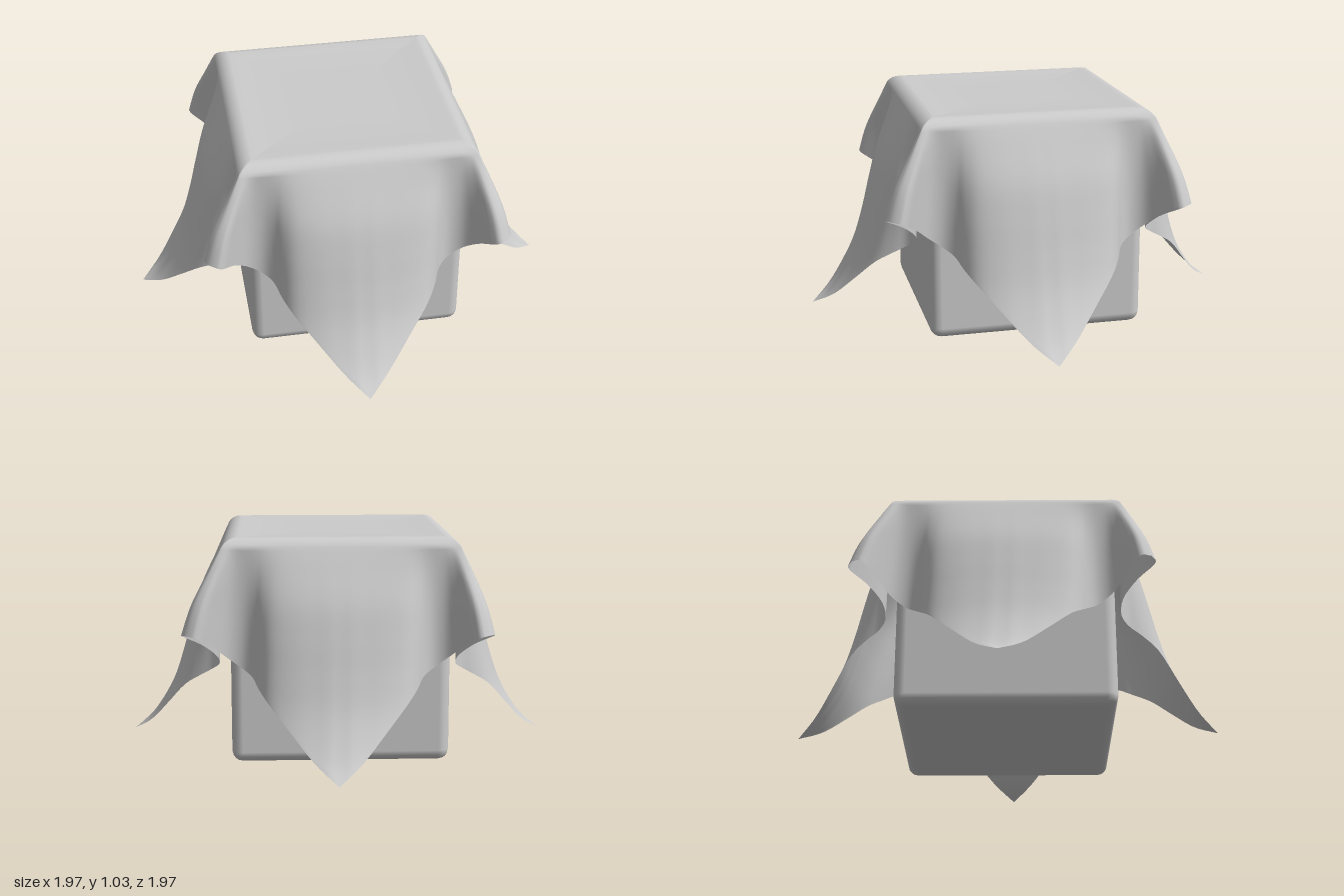
import * as THREE from 'three';
import { RoundedBoxGeometry } from 'three/addons/geometries/RoundedBoxGeometry.js';

const RIM = 0.46, SHOULDER = 0.53, SHOULDER_Y = 0.99;
const HALF = 36;                          // columns per half side
const lerp = THREE.MathUtils.lerp;

// How far the cloth flares out at each height below the shoulder: [out, height]
const flare = new THREE.SplineCurve([
  [0.53, 0.99], [0.575, 0.9], [0.645, 0.75], [0.69, 0.6], [0.73, 0.45],
  [0.78, 0.3], [0.85, 0.17], [0.92, 0.08], [0.985, 0.035],
].map(p => new THREE.Vector2(...p))).getPoints(160);

function flareAt(y) {
  for (let i = 1; i < flare.length; i++) {
    const a = flare[i - 1], b = flare[i];
    if (y >= b.y) return lerp(a.x, b.x, (a.y - y) / (a.y - b.y));
  }
  return flare[flare.length - 1].x;
}

// Half of one side, from the hanging tip to the corner fold:
// [shoulder sideways, hem sideways, hem out, hem height]
const columns = [
  [0, 0, 0.985, 0.035], [0.1, 0.1, 0.89, 0.105], [0.2, 0.2, 0.8, 0.21],
  [0.28, 0.3, 0.71, 0.32], [0.33, 0.35, 0.635, 0.375], [0.37, 0.38, 0.57, 0.415],
  [0.41, 0.43, 0.535, 0.45], [0.45, 0.495, 0.545, 0.5], [0.48, 0.555, 0.605, 0.56],
  [0.505, 0.615, 0.685, 0.61], [0.53, 0.665, 0.665, 0.62],
];
const hemCurve = new THREE.CatmullRomCurve3(
  columns.map(c => new THREE.Vector3(c[1], c[2], c[3])), false, 'catmullrom', 0.5);
const shoulderCurve = new THREE.CatmullRomCurve3(
  columns.map(c => new THREE.Vector3(c[0], 0, 0)), false, 'catmullrom', 0.5);

// One column of cloth from the middle of the top to the hem: [sideways, out, height, twist]
function clothColumn(u) {
  const sign = Math.sign(u) || 1;
  const hem = hemCurve.getPoint(Math.abs(u));
  const side = shoulderCurve.getPoint(Math.abs(u)).x;
  const points = [];
  const TOP = 10, ROUND = 6, DROP = 40;
  for (let i = 0; i <= TOP; i++) {        // flat top, sagging slightly
    const s = i / TOP, d = RIM * s;
    points.push([sign * side * d / SHOULDER, d, 1.02 + 0.01 * s ** 4, 0]);
  }
  for (let i = 1; i <= ROUND; i++) {      // rounded edge
    const a = i / ROUND * Math.PI / 3;
    const d = RIM + (SHOULDER - RIM) * Math.sin(a) / Math.sin(Math.PI / 3);
    points.push([sign * side * d / SHOULDER, d, 0.95 + 0.08 * Math.cos(a), 0]);
  }
  const reach = flareAt(hem.z) - SHOULDER;
  for (let i = 1; i <= DROP; i++) {       // hanging part
    const y = lerp(SHOULDER_Y, hem.z, i / DROP);
    const t = (flareAt(y) - SHOULDER) / reach;
    points.push([sign * lerp(side, hem.x, t), lerp(SHOULDER, hem.y, t), y, 0.03 * t]);
  }
  return points;
}

function clothGeometry() {
  const positions = [], index = [];
  const count = 4 * 2 * HALF;
  let rows = 0;
  for (let j = 0; j < count; j++) {
    const quarter = Math.floor(j / (2 * HALF));
    const points = clothColumn((j % (2 * HALF)) / HALF - 1);
    rows = points.length;
    for (const [l, d, y, twist] of points) {
      const a = quarter * Math.PI / 2 - twist;
      positions.push(l * Math.cos(a) + d * Math.sin(a), y, d * Math.cos(a) - l * Math.sin(a));
    }
  }
  for (let j = 0; j < count; j++) {
    const here = j * rows, next = ((j + 1) % count) * rows;
    for (let i = 0; i < rows - 1; i++) {
      index.push(here + i, here + i + 1, next + i + 1);
      if (i > 0) index.push(here + i, next + i + 1, next + i);
    }
  }
  const geometry = new THREE.BufferGeometry();
  geometry.setAttribute('position', new THREE.Float32BufferAttribute(positions, 3));
  geometry.setIndex(index);
  geometry.computeVertexNormals();
  return geometry;
}

export function createModel() {
  const group = new THREE.Group();
  group.name = 'drapedBox';

  const box = new THREE.Mesh(
    new RoundedBoxGeometry(0.99, 1, 0.99, 2, 0.05),
    new THREE.MeshStandardMaterial({ color: 0xcccccc }));
  box.name = 'box';
  box.position.y = 0.5;

  const cloth = new THREE.Mesh(
    clothGeometry(),
    new THREE.MeshStandardMaterial({ color: 0xcccccc, side: THREE.DoubleSide }));
  cloth.name = 'cloth';

  group.add(box, cloth);
  return group;
}
